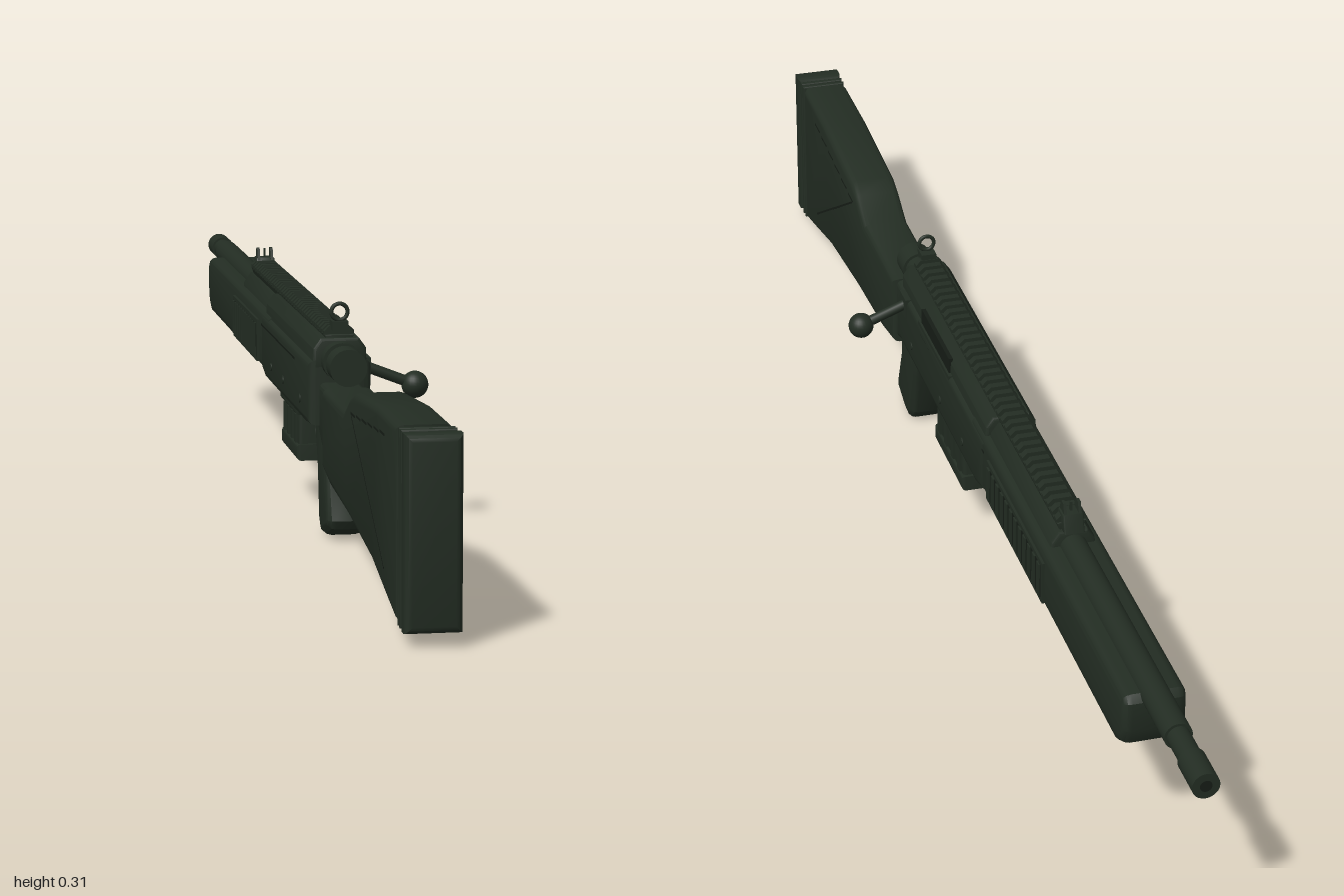
import * as THREE from 'three';
import { toCreasedNormals } from 'three/addons/utils/BufferGeometryUtils.js';

export function createModel() {
  const model = new THREE.Group();
  model.name = 'rifle';
  const body = new THREE.Group();
  body.name = 'centreline';
  body.position.x = -0.04;
  model.add(body);

  const green = new THREE.MeshStandardMaterial({ color: 0x232d23 });
  green.name = 'dark green';
  const dark = new THREE.MeshStandardMaterial({ color: 0x161d16 });
  dark.name = 'shadow green';

  const add = (name, geo, mat = green, parent = body) => {
    const m = new THREE.Mesh(geo, mat);
    m.name = name;
    parent.add(m);
    return m;
  };
  const extrude = (pts, depth, bevel) => {
    const shape = new THREE.Shape(pts.map(p => new THREE.Vector2(p[0], p[1])));
    const g = new THREE.ExtrudeGeometry(shape, {
      depth: depth - 2 * bevel, bevelEnabled: bevel > 0, bevelThickness: bevel,
      bevelSize: bevel, bevelOffset: -bevel, bevelSegments: 3,
    });
    return g.translate(0, 0, -depth / 2 + bevel);
  };
  // Side profile of [z, y] points, given a width across x
  const slab = (name, pts, width, bevel, mat) =>
    add(name, toCreasedNormals(extrude(pts, width, bevel).rotateY(-Math.PI / 2), 0.6), mat);
  // Cross-section of [x, y] points, run along z
  const bar = (name, pts, z0, z1, bevel = 0.004) =>
    add(name, toCreasedNormals(extrude(pts, Math.abs(z1 - z0), bevel).translate(0, 0, (z0 + z1) / 2), 0.6));
  const box = (name, w, h, d, x, y, z, mat) =>
    add(name, new THREE.BoxGeometry(w, h, d).translate(x, y, z), mat);
  // Cylinder along z between z0 and z1
  const rod = (name, r, z0, z1, y, r2 = r) =>
    add(name, new THREE.CylinderGeometry(r2, r, Math.abs(z1 - z0), 24)
      .rotateX(Math.PI / 2).translate(0, y, (z0 + z1) / 2));

  // Shoulder stock with raised comb and slim wrist
  slab('stock', [[0.935, 0.022], [0.935, 0.258], [0.8, 0.258], [0.62, 0.246], [0.59, 0.236], [0.54, 0.21],
    [0.36, 0.21], [0.36, 0.103], [0.43, 0.09], [0.58, 0.08], [0.76, 0.06], [0.88, 0.033]], 0.07, 0.01);
  slab('wrist', [[0.4, 0.208], [0.28, 0.208], [0.27, 0.15], [0.32, 0.12], [0.4, 0.1]], 0.056, 0.008);

  // Recoil pad: core, spacer rings and end plate
  box('padCore', 0.058, 0.212, 0.05, 0, 0.138, 0.955);
  const padSection = (s) => [[-s, 0.02], [s, 0.02], [s, 0.257], [-s, 0.257]];
  bar('padRing', padSection(0.034), 0.941, 0.949, 0.003);
  bar('padRing', padSection(0.034), 0.953, 0.963, 0.003);
  bar('buttPlate', padSection(0.035), 0.967, 1.0, 0.009);

  // Pistol grip
  slab('grip', [[0.345, 0.17], [0.25, 0.17], [0.252, 0.14], [0.272, 0.09], [0.284, 0.02], [0.3, 0.003],
    [0.325, 0.005], [0.365, 0.02], [0.371, 0.032], [0.345, 0.1]], 0.056, 0.012);

  // Receiver and long fore-end
  slab('receiver', [[0.297, 0.15], [0.297, 0.238], [-0.17, 0.238], [-0.17, 0.157], [-0.13, 0.147], [0.25, 0.147]],
    0.086, 0.01);
  slab('foreEnd', [[-0.1, 0.155], [-0.1, 0.242], [-0.8, 0.242], [-0.808, 0.232], [-0.808, 0.19], [-0.798, 0.167],
    [-0.775, 0.155]], 0.084, 0.012);
  bar('receiverTop', [[-0.037, 0.225], [0.037, 0.225], [0.036, 0.254], [0.026, 0.268], [-0.026, 0.268],
    [-0.036, 0.254]], 0.297, -0.16);
  bar('handguardTop', [[-0.032, 0.23], [0.032, 0.23], [0.03, 0.248], [0.02, 0.262], [-0.02, 0.262],
    [-0.03, 0.248]], -0.16, -0.455);
  box('sling Stud', 0.016, 0.01, 0.02, 0, 0.152, -0.52).name = 'slingStud';

  // Side details, mirrored
  for (const s of [-1, 1]) {
    box('ventPanel', 0.006, 0.062, 0.27, s * 0.0425, 0.194, -0.33);
    for (let i = 0; i < 12; i++)
      box('ventRib', 0.005, 0.05, 0.011, s * 0.0455, 0.194, -0.209 - i * 0.022);
    box('ventRecess', 0.001, 0.05, 0.256, s * 0.0456, 0.194, -0.33, dark);
    // Diagonal crease and comb seam on the stock
    const crease = box('stockCrease', 0.001, 0.003, 0.285, 0, 0, 0, dark);
    crease.position.set(s * 0.035, 0.143, 0.732);
    crease.rotation.x = Math.atan2(0.145, 0.245);
    for (let i = 0; i < 6; i++)
      box('combSeam', 0.001, 0.003, 0.032, s * 0.035, 0.229 - i * 0.003 + 0.004, 0.84 - i * 0.044, dark);
    box('receiverSeam', 0.001, 0.003, 0.34, s * 0.0425, 0.222, 0.0, dark);
    for (const z of [-0.06, 0.06, 0.22])
      add('pin', new THREE.CylinderGeometry(0.006, 0.006, 0.004, 12).rotateZ(Math.PI / 2)
        .translate(s * 0.0425, 0.175, z));
  }
  box('ejectionPort', 0.006, 0.026, 0.15, 0.036, 0.248, 0.1, dark);
  box('portFrame', 0.012, 0.007, 0.17, 0.036, 0.235, 0.1);

  // Barrel, sleeve and muzzle
  rod('barrel', 0.015, -0.1, -0.99, 0.239);
  rod('barrelSleeve', 0.0185, -0.42, -0.895, 0.239);
  rod('muzzle', 0.018, -0.945, -1.0, 0.239);
  rod('bore', 0.008, -0.99, -1.0005, 0.239).material = dark;

  // Top rail with teeth
  bar('railBase', [[-0.016, 0.26], [0.016, 0.26], [0.02, 0.272], [-0.02, 0.272]], 0.292, -0.445, 0.001);
  for (let i = 0; i < 37; i++)
    bar('railTooth', [[-0.02, 0.27], [0.02, 0.27], [0.02, 0.276], [0.013, 0.283], [-0.013, 0.283], [-0.02, 0.276]],
      0.288 - i * 0.02, 0.277 - i * 0.02, 0);

  // Rear ring sight
  box('rearSightBase', 0.022, 0.012, 0.024, 0, 0.285, 0.29);
  add('rearSightRing', new THREE.TorusGeometry(0.011, 0.0028, 10, 28).translate(0, 0.303, 0.293));

  // Front sight: base, wings and post
  slab('frontSightBase', [[-0.415, 0.262], [-0.43, 0.287], [-0.452, 0.287], [-0.46, 0.262]], 0.028, 0.002);
  for (const s of [-1, 1])
    slab('frontSightWing', [[-0.427, 0.283], [-0.436, 0.301], [-0.445, 0.301], [-0.452, 0.283]], 0.004, 0)
      .position.x = s * 0.01;
  box('frontSightPost', 0.003, 0.016, 0.004, 0, 0.292, -0.44);

  // Bolt: shroud behind the receiver, then bent handle with a round knob
  rod('boltBody', 0.021, 0.36, 0.28, 0.238);
  rod('boltShroud', 0.025, 0.372, 0.335, 0.238);
  rod('boltCollar', 0.026, 0.318, 0.29, 0.238);
  const handle = new THREE.LineCurve3(new THREE.Vector3(0.018, 0.232, 0.262), new THREE.Vector3(0.106, 0.198, 0.262));
  add('boltHandle', new THREE.TubeGeometry(handle, 1, 0.0075, 14));
  add('boltKnob', new THREE.SphereGeometry(0.0185, 24, 16).translate(0.1085, 0.197, 0.262));
  box('boltRoot', 0.022, 0.03, 0.034, 0.034, 0.223, 0.262);

  // Trigger guard and trigger
  const v = (y, z) => new THREE.Vector3(0, y, z);
  const guard = new THREE.CatmullRomCurve3([v(0.155, 0.255), v(0.128, 0.242), v(0.108, 0.215), v(0.105, 0.175),
    v(0.108, 0.148), v(0.122, 0.136), v(0.155, 0.134)]);
  const guardGeo = new THREE.TubeGeometry(guard, 36, 0.005, 8);
  add('triggerGuard', guardGeo.scale(2, 1, 1));
  const trigger = new THREE.CatmullRomCurve3([v(0.155, 0.2), v(0.138, 0.203), v(0.118, 0.19)]);
  add('trigger', new THREE.TubeGeometry(trigger, 12, 0.004, 8));

  // Box magazine with side ribs and floor plate
  slab('magazine', [[0.122, 0.16], [-0.022, 0.16], [-0.022, 0.08], [0.122, 0.08]], 0.06, 0.005);
  slab('magazineFloor', [[0.127, 0.094], [-0.027, 0.094], [-0.027, 0.071], [0.127, 0.071]], 0.066, 0.005);
  slab('magazineWell', [[0.132, 0.155], [-0.032, 0.155], [-0.027, 0.136], [0.127, 0.136]], 0.07, 0.004);
  for (const s of [-1, 1])
    for (let i = 0; i < 4; i++)
      box('magazineRib', 0.004, 0.04, 0.014, s * 0.031, 0.114, 0.102 - i * 0.035);

  return model;
}
